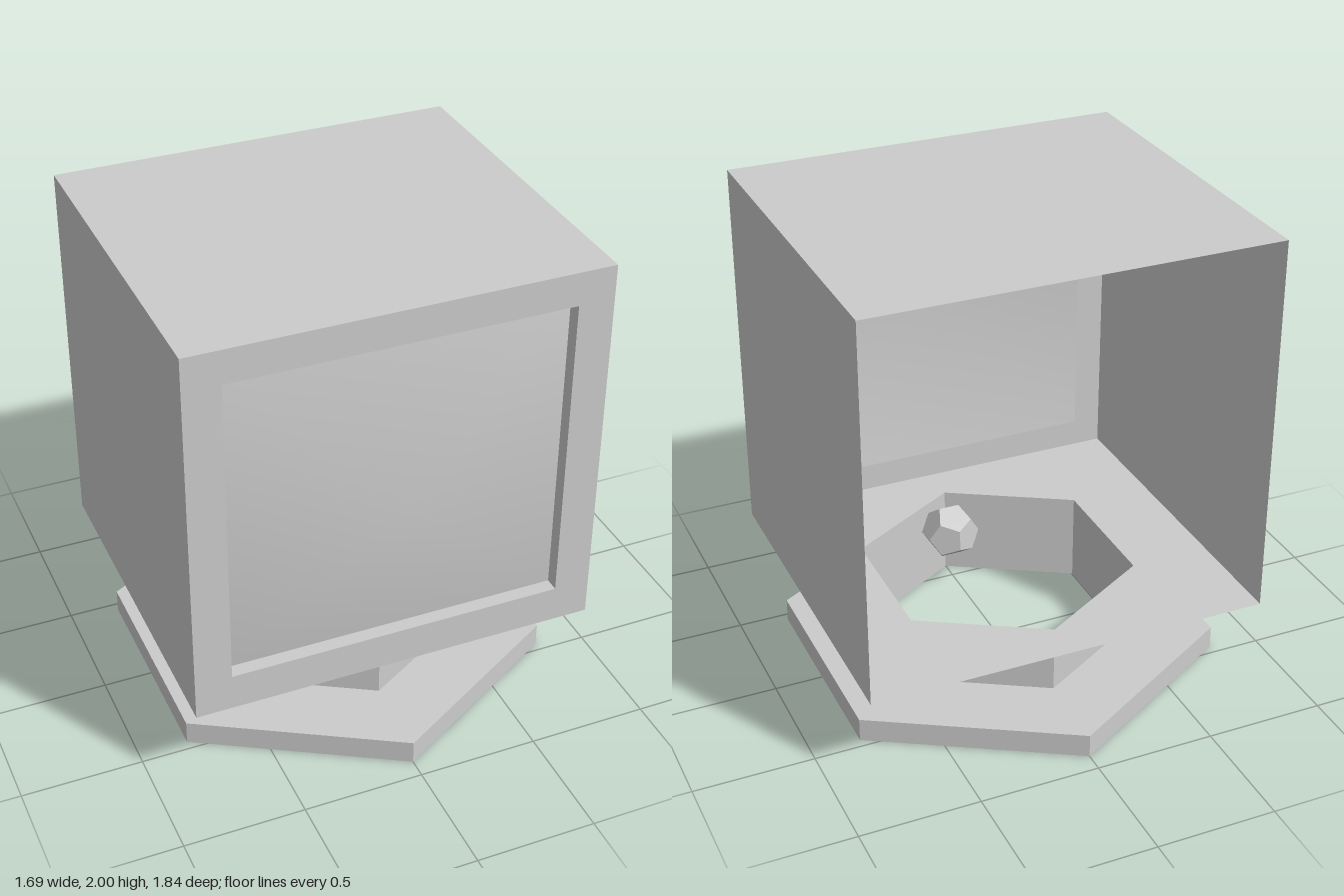
import * as THREE from 'three';

const mat = new THREE.MeshStandardMaterial({ color: 0xcccccc, side: THREE.DoubleSide, flatShading: true });
const smoothMat = new THREE.MeshStandardMaterial({ color: 0xcccccc, side: THREE.DoubleSide });

// Hexagon with a corner on the second axis
const hexagon = (r) => Array.from({ length: 6 }, (_, i) => {
  const a = i * Math.PI / 3;
  return new THREE.Vector2(r * Math.sin(a), r * Math.cos(a));
});

const rectangle = (x, y0, y1) =>
  [[-x, y0], [x, y0], [x, y1], [-x, y1]].map(([a, b]) => new THREE.Vector2(a, b));

function panel(outer, hole) {
  const shape = new THREE.Shape(outer);
  if (hole) shape.holes.push(new THREE.Path(hole));
  return shape;
}

export function createModel() {
  const model = new THREE.Group();
  const add = (name, geometry, x = 0, y = 0, z = 0, parent = model, material = mat) => {
    const mesh = new THREE.Mesh(geometry, material);
    mesh.name = name;
    mesh.position.set(x, y, z);
    parent.add(mesh);
    return mesh;
  };

  // Sizes of the case and of the screen opening
  const W = 0.845, D = 0.75, bottom = 0.39, top = 2;
  const sx = 0.695, s0 = 0.545, s1 = 1.86, recess = 0.69;
  const neckR = 0.58, baseH = 0.1;

  // Case: thin walls, open at the back
  const housing = new THREE.Group();
  housing.name = 'case';
  model.add(housing);
  add('topPanel', new THREE.PlaneGeometry(W * 2, D * 2), 0, top, 0, housing).rotation.x = -Math.PI / 2;
  for (const s of [1, -1]) {
    add(s > 0 ? 'leftPanel' : 'rightPanel', new THREE.PlaneGeometry(D * 2, top - bottom),
      s * W, (top + bottom) / 2, 0, housing).rotation.y = s * Math.PI / 2;
  }
  add('bottomPanel', new THREE.ShapeGeometry(panel(rectangle(W, -D, D), hexagon(neckR))),
    0, bottom, 0, housing).rotation.x = Math.PI / 2;
  add('frontBezel', new THREE.ShapeGeometry(panel(rectangle(W, bottom, top), rectangle(sx, s0, s1))),
    0, 0, D, housing);

  // Short walls leading from the bezel back to the screen
  const depth = D - recess, midZ = (D + recess) / 2, midY = (s0 + s1) / 2;
  for (const s of [1, -1]) {
    add('recessSide', new THREE.PlaneGeometry(depth, s1 - s0), s * sx, midY, midZ, housing)
      .rotation.y = -s * Math.PI / 2;
    add('recessEdge', new THREE.PlaneGeometry(sx * 2, depth), 0, s > 0 ? s1 : s0, midZ, housing)
      .rotation.x = s * Math.PI / 2;
  }

  // Screen: four smooth-shaded facets rising to a central point
  const screen = new THREE.BufferGeometry();
  const h = (s1 - s0) / 2;
  screen.setAttribute('position', new THREE.Float32BufferAttribute(
    [-sx, -h, 0, sx, -h, 0, sx, h, 0, -sx, h, 0, 0, 0, 0.85 - recess], 3));
  screen.setIndex([0, 1, 4, 1, 2, 4, 2, 3, 4, 3, 0, 4]);
  screen.computeVertexNormals();
  add('screen', screen, 0, midY, recess, model, smoothMat);

  // Hollow hexagonal neck
  add('neck', new THREE.CylinderGeometry(neckR, neckR, bottom - baseH, 6, 1, true), 0, (bottom + baseH) / 2, 0);

  // Hexagonal base ring
  const ring = new THREE.ExtrudeGeometry(panel(hexagon(0.92), hexagon(neckR)), { depth: baseH, bevelEnabled: false });
  add('base', ring, 0, baseH, 0).rotation.x = Math.PI / 2;

  // Small faceted knob set inside the front of the neck
  add('knob', new THREE.DodecahedronGeometry(0.125), 0.03, 0.275, 0.445).rotation.x = 0.1;

  return model;
}
